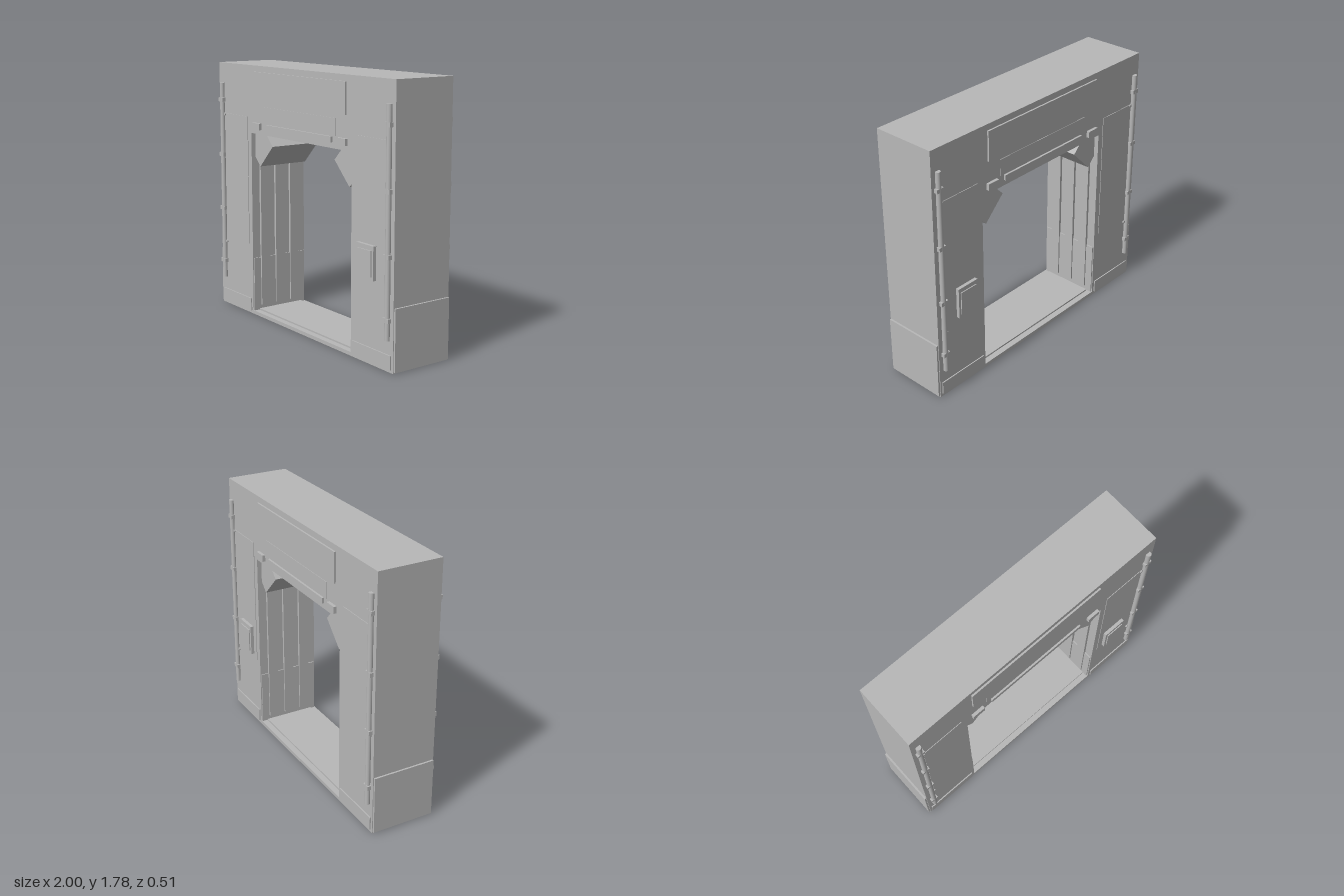
import * as THREE from 'three';

export function createModel() {
  const root = new THREE.Group();
  const grey = new THREE.MeshStandardMaterial({ color: 0xb8b8b8 });
  grey.name = 'grey';

  function add(name, geometry, x, y, z) {
    const mesh = new THREE.Mesh(geometry, grey);
    mesh.name = name;
    mesh.position.set(x, y, z);
    root.add(mesh);
    return mesh;
  }
  // Box given by its limits on each axis
  function box(name, x0, x1, y0, y1, z0, z1) {
    return add(name, new THREE.BoxGeometry(x1 - x0, y1 - y0, Math.abs(z1 - z0)),
      (x0 + x1) / 2, (y0 + y1) / 2, (z0 + z1) / 2);
  }

  // Portal frame with its doorway cut through
  const W = 0.987, D = 0.222;
  const outline = new THREE.Shape([[-W, 0], [W, 0], [W, 1.78], [-W, 1.78]]
    .map(p => new THREE.Vector2(...p)));
  outline.holes.push(new THREE.Path([[-0.57, 0.025], [-0.57, 1.31], [0.57, 1.31], [0.57, 0.025]]
    .map(p => new THREE.Vector2(...p))));
  const frame = new THREE.ExtrudeGeometry(outline, { depth: 2 * D, bevelEnabled: false });
  add('frame', frame, 0, 0, -D);

  // Raised threshold plate
  box('threshold', -0.555, 0.555, 0.02, 0.036, -0.18, 0.18);

  for (const s of [-1, 1]) {
    // Outer bumper plate and inner kick plate
    const side = (name, a, b, ...rest) => box(name, Math.min(s * a, s * b), Math.max(s * a, s * b), ...rest);
    side('outerKickPlate', W - 0.01, 1, 0.01, 0.41, -0.217, 0.217);
    side('innerKickPlate', 0.562, 0.58, 0.025, 0.41, -0.215, 0.215);
    // Vertical strips lining the doorway
    for (const z of [-0.125, 0, 0.125]) side('liningStrip', 0.552, 0.58, 0.06, 1.31, z - 0.035, z + 0.035);

    // Angled box in the upper corner
    const corner = add('cornerBox', new THREE.BoxGeometry(0.219, 0.2, 0.38), s * 0.501, 1.226, 0);
    corner.rotation.z = -s * Math.PI / 4;

    for (const f of [-1, 1]) {
      // Large access panel and foot plate
      side('accessPanel', 0.613, 0.915, 0.512, 1.42, f * 0.21, f * 0.226);
      side('footPlate', 0.59, 0.97, 0.02, 0.11, f * 0.21, f * 0.23);
      // Small sensor over the doorway
      side('sensor', 0.44, 0.53, 1.342, 1.387, f * 0.21, f * 0.243);
      // Vertical pipe with its clips
      add('pipe', new THREE.CylinderGeometry(0.018, 0.018, 1.435, 16), s * 0.938, 0.918, f * 0.23);
      for (const y of [0.328, 0.722, 1.118, 1.515])
        side('pipeClip', 0.912, 0.965, y - 0.014, y + 0.014, f * 0.21, f * 0.247);
      // Studs beside the pipe
      for (const y of [0.475, 1.412]) {
        const stud = add('stud', new THREE.CylinderGeometry(0.01, 0.01, 0.03, 12), s * 0.912, y, f * 0.217);
        stud.rotation.x = Math.PI / 2;
      }
    }
  }

  for (const f of [-1, 1]) {
    // Sign board, plate below it and light bar
    box('signBoard', -0.517, 0.517, 1.533, 1.738, f * 0.21, f * 0.234);
    box('headerPlate', -0.41, 0.41, 1.39, 1.503, f * 0.21, f * 0.225);
    box('lightBar', -0.373, 0.373, 1.348, 1.385, f * 0.21, f * 0.236);
    // Control box with raised cover
    box('controlBox', 0.655, 0.822, 0.548, 0.765, f * 0.21, f * 0.249);
    box('controlCover', 0.672, 0.805, 0.57, 0.735, f * 0.24, f * 0.256);
  }
  return root;
}
